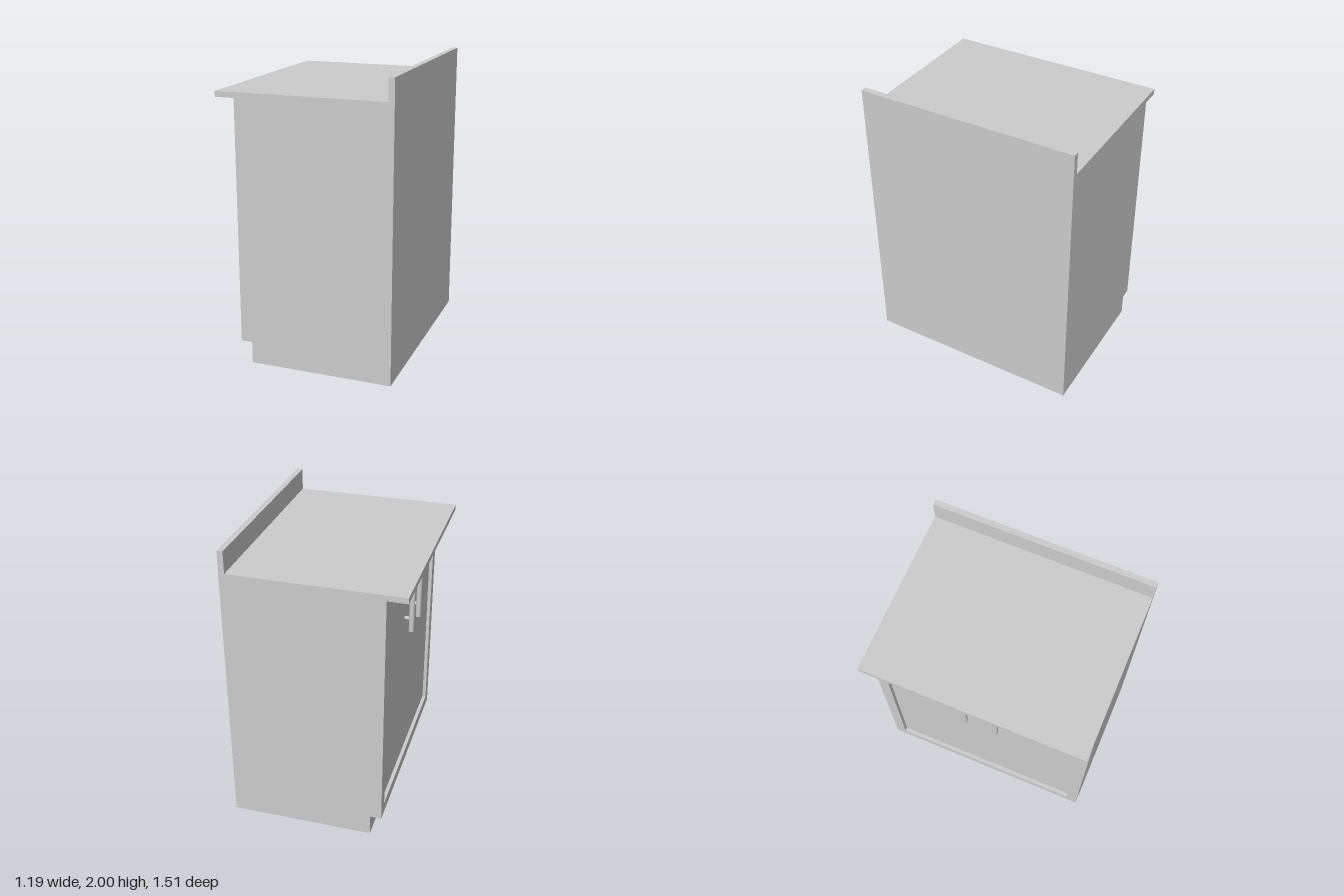
import * as THREE from 'three';

const DEPTH = 1.51;      // cabinet extent along z
const PANEL_X = -0.44;   // recessed door surface
const FRAME_X = -0.465;  // outer face of the frame

const material = new THREE.MeshStandardMaterial({ color: 0xcccccc });

function addMesh(parent, name, geometry, x = 0, y = 0, z = 0) {
  const mesh = new THREE.Mesh(geometry, material);
  mesh.name = name;
  mesh.position.set(x, y, z);
  parent.add(mesh);
  return mesh;
}

// Bar handle standing upright, held by two posts
function createHandle(z) {
  const handle = new THREE.Group();
  handle.name = 'handle';
  const barX = -0.487;
  addMesh(handle, 'handleBar', new THREE.CylinderGeometry(0.018, 0.018, 0.375, 24), barX, 1.4525, z);
  const length = PANEL_X - barX;
  for (const y of [1.36, 1.55]) {
    const post = addMesh(handle, 'handlePost', new THREE.CylinderGeometry(0.012, 0.012, length, 16),
      barX + length / 2, y, z);
    post.rotation.z = Math.PI / 2;
  }
  return handle;
}

export function createModel() {
  const model = new THREE.Group();
  model.name = 'baseCabinet';

  // Side profile: toe kick, carcass, overhanging worktop and backsplash
  const profile = new THREE.Shape([
    [-0.387, 0], [0.597, 0], [0.597, 2], [0.557, 2], [0.557, 1.85], [-0.597, 1.85],
    [-0.597, 1.812], [PANEL_X, 1.812], [PANEL_X, 0.15], [-0.387, 0.15],
  ].map(([x, y]) => new THREE.Vector2(x, y)));
  const body = new THREE.ExtrudeGeometry(profile, { depth: DEPTH, bevelEnabled: false });
  addMesh(model, 'carcassAndWorktop', body, 0, 0, -DEPTH / 2);

  // Face frame around the recessed door panel
  const rect = (Type, w, y0, y1) => new Type([
    new THREE.Vector2(-w, y0), new THREE.Vector2(w, y0),
    new THREE.Vector2(w, y1), new THREE.Vector2(-w, y1),
  ]);
  const frameShape = rect(THREE.Shape, DEPTH / 2, 0.15, 1.812);
  frameShape.holes.push(rect(THREE.Path, DEPTH / 2 - 0.076, 0.226, 1.736));
  const frame = new THREE.ExtrudeGeometry(frameShape, { depth: PANEL_X - FRAME_X, bevelEnabled: false });
  frame.rotateY(-Math.PI / 2);
  addMesh(model, 'faceFrame', frame, PANEL_X);

  // Pair of handles mirrored about the middle
  for (const side of [-1, 1]) model.add(createHandle(side * 0.11));

  return model;
}
